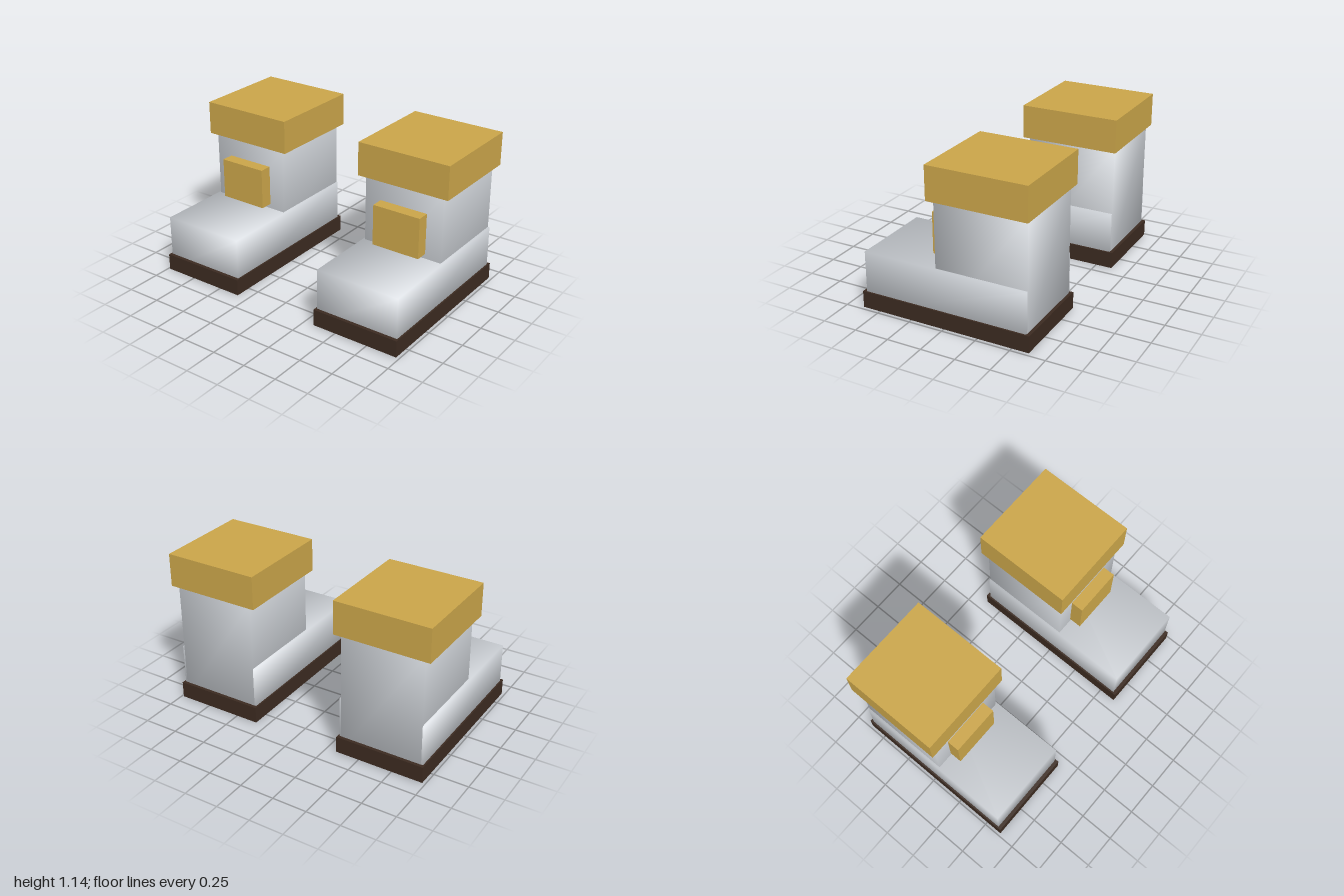
import * as THREE from 'three';
import { mergeVertices } from 'three/addons/utils/BufferGeometryUtils.js';

function material(name, color) {
  const m = new THREE.MeshStandardMaterial({ color });
  m.name = name;
  return m;
}

// Box given by its lower and upper corners
function box([x0, y0, z0], [x1, y1, z1]) {
  return new THREE.BoxGeometry(x1 - x0, y1 - y0, z1 - z0)
    .translate((x0 + x1) / 2, (y0 + y1) / 2, (z0 + z1) / 2);
}

// Weld the corners so that shading flows around the edges
function soften(geometry) {
  geometry.deleteAttribute('uv');
  geometry.deleteAttribute('normal');
  const welded = mergeVertices(geometry);
  welded.computeVertexNormals();
  return welded;
}

export function createModel() {
  const leather = material('grey leather', 0xc4c8cd);
  const gold = material('gold trim', 0xc9a449);
  const rubber = material('dark brown sole', 0x3b2a20);

  // Foot, poking just through the sole; one lower front corner is lifted back inside it
  const footBox = box([-0.313, 0, -0.6], [0.313, 0.42, 0.6]);
  const p = footBox.attributes.position;
  for (let i = 0; i < p.count; i++) {
    if (p.getX(i) < 0 && p.getY(i) < 0.1 && p.getZ(i) > 0) p.setY(i, 0.025);
  }

  const parts = [
    ['sole', box([-0.325, 0.005, -0.625], [0.325, 0.125, 0.625]), rubber],
    ['foot', soften(footBox), leather],
    ['shaft', soften(box([-0.299, 0.02, -0.602], [0.299, 0.91, 0.06])), leather],
    ['cuff', box([-0.345, 0.9, -0.625], [0.345, 1.14, 0.09]), gold],
    ['buckle', box([-0.179, 0.455, 0.04], [0.179, 0.75, 0.15]), gold],
  ];

  const model = new THREE.Group();
  model.name = 'boots';
  for (const side of [-1, 1]) {
    const boot = new THREE.Group();
    boot.name = side > 0 ? 'leftBoot' : 'rightBoot';
    boot.position.x = side * 0.655;
    for (const [name, geometry, mat] of parts) {
      const mesh = new THREE.Mesh(geometry, mat);
      mesh.name = name;
      boot.add(mesh);
    }
    model.add(boot);
  }
  return model;
}
